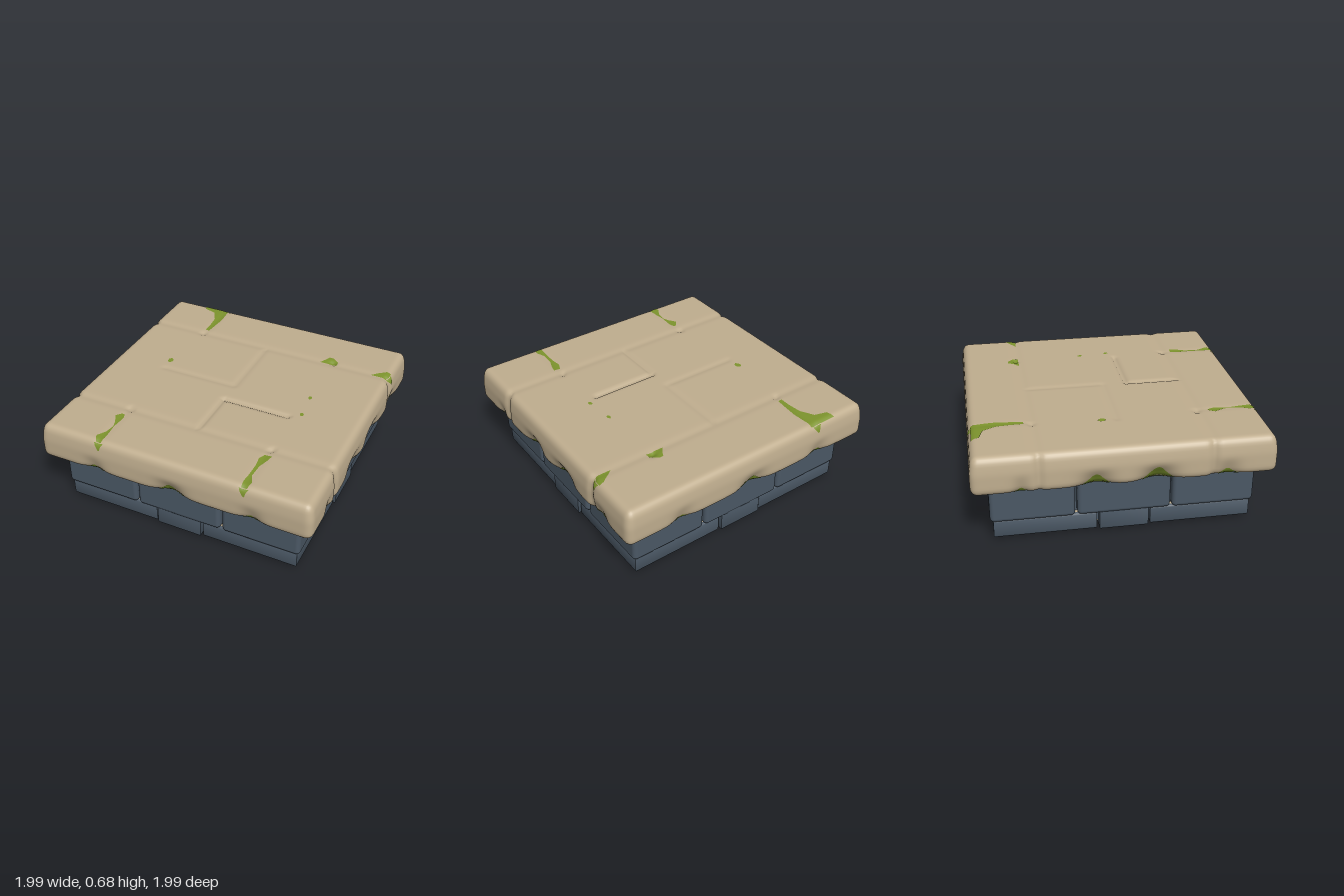
import * as THREE from 'three';
import { mergeVertices, toCreasedNormals } from 'three/addons/utils/BufferGeometryUtils.js';
import { RoundedBoxGeometry } from 'three/addons/geometries/RoundedBoxGeometry.js';

const S = 0.997, H = 0.133, MID_Y = 0.543, R = 0.05; // slab half size, half height, centre, rounding

// Mossy chips along the lower edge, per side (front, right, back, left): [centre, width, height]
const frontChips = [[-0.58, 0.15, 0.05], [0, 0.2, 0.085], [0.58, 0.15, 0.05]];
const sideChips = [[-0.68, 0.1, 0.04], [-0.2, 0.2, 0.09], [0.2, 0.22, 0.11], [0.66, 0.16, 0.055]];
const chips = [frontChips, sideChips, frontChips, sideChips];

// Joints pressed into the top: [x0, z0, x1, z1, depth, width]
const joints = [
  [-1, -0.57, 1, -0.57, 0.006, 0.03], [-1, 0.57, 1, 0.57, 0.006, 0.03],
  [0, -0.57, 0, 0, 0.007, 0.02], [-0.57, 0, 0, 0, 0.007, 0.02],
  [0, 0.17, 0, 0.56, 0.014, 0.015], [0, 0.175, 0.49, 0.175, 0.02, 0.015],
  [-0.55, -0.57, -0.54, -0.57, 0.018, 0.025], [0.53, -0.59, 0.54, -0.59, 0.018, 0.025],
  [-0.54, 0.56, -0.52, 0.57, 0.018, 0.025], [0.53, 0.57, 0.54, 0.56, 0.018, 0.025],
  [0, -0.55, 0, -0.54, 0.01, 0.02], [-0.53, 0.6, -0.53, 1, 0.004, 0.025],
  [0.53, 0.6, 0.53, 1, 0.004, 0.025], [-0.53, -1, -0.53, -0.6, 0.004, 0.025]
];

const gauss = (d, w) => Math.exp(-(d * d) / (w * w));
const step = THREE.MathUtils.smoothstep;
const UP = new THREE.Vector3(0, 1, 0);

// Moves a point of the plain slab box onto the worn stone surface
function wear(p) {
  const inner = new THREE.Vector3(
    THREE.MathUtils.clamp(p.x, R - S, S - R),
    THREE.MathUtils.clamp(p.y, R - H, H - R),
    THREE.MathUtils.clamp(p.z, R - S, S - R));
  const low = 1 - step(p.y, -H, 0.02);
  const onTop = step(p.y, H - 0.03, H);
  p.sub(inner).setLength(R).add(inner);
  const x = p.x, z = p.z;
  if (onTop > 0) {
    let dip = 0;
    for (const [x0, z0, x1, z1, depth, width] of joints) {
      const dx = x1 - x0, dz = z1 - z0;
      const t = THREE.MathUtils.clamp(((x - x0) * dx + (z - z0) * dz) / (dx * dx + dz * dz), 0, 1);
      dip = Math.max(dip, depth * gauss(Math.hypot(x - x0 - t * dx, z - z0 - t * dz), width));
    }
    p.y -= onTop * dip;
  }
  // side notches where the stones meet, and a slight taper to the top
  p.x -= Math.sign(x) * step(Math.abs(x), 0.88, S) *
    (0.018 * gauss(Math.abs(z) - 0.565, 0.025) + 0.014 * step(p.y, 0, H));
  p.z -= Math.sign(z) * step(Math.abs(z), 0.88, S) * 0.014 * step(p.y, 0, H);
  // chips in the lower edge
  chips.forEach((list, k) => {
    const angle = k * Math.PI / 2, s = Math.sin(angle), c = Math.cos(angle);
    const out = x * s + z * c, along = x * c - z * s;
    const reach = step(out, 0.85, S) * low;
    for (const [centre, width, height] of list) {
      const d = reach * height * 0.65 * gauss(along - centre, width * 0.5);
      p.x -= d * s;
      p.z -= d * c;
    }
  });
  return p;
}

function moveVertices(geometry, rule) {
  const pos = geometry.attributes.position, p = new THREE.Vector3();
  for (let i = 0; i < pos.count; i++) {
    rule(p.fromBufferAttribute(pos, i));
    pos.setXYZ(i, p.x, p.y, p.z);
  }
  geometry.computeVertexNormals();
  return geometry;
}

// Thin moss skin lofted through rows of [v, u0, u1], laid on the slab by a placing rule
function mossGeometry(rows, place, normal) {
  const sub = 5, n = (rows.length - 1) * sub;
  return moveVertices(new THREE.PlaneGeometry(1, 1, 8, n), p => {
    const f = (0.5 - p.y) * (rows.length - 1);
    const i = Math.min(Math.floor(f + 1e-6), rows.length - 2);
    const [v, a, b] = rows[i].map((value, j) => THREE.MathUtils.lerp(value, rows[i + 1][j], f - i));
    place(p, THREE.MathUtils.lerp(a, b, p.x + 0.5), v);
    wear(p).addScaledVector(normal, 0.004);
  });
}

// Flat stone from a plan outline, spanning y0..y1
function stoneFromPlan(points, y0, y1) {
  const bevel = 0.016;
  const shape = new THREE.Shape(points.map(([x, z]) => new THREE.Vector2(x, z)));
  const g = new THREE.ExtrudeGeometry(shape, {
    depth: y1 - y0 - 2 * bevel, bevelThickness: bevel, bevelSize: bevel, bevelOffset: -bevel, bevelSegments: 2
  });
  g.rotateX(Math.PI / 2).translate(0, y1 - bevel, 0);
  return toCreasedNormals(g, 0.9);
}

export function createModel() {
  const model = new THREE.Group();
  const material = (name, color, side = THREE.FrontSide) => {
    const m = new THREE.MeshStandardMaterial({ color, side });
    m.name = name;
    return m;
  };
  const sand = material('sandstone', 0xc0ae8f);
  const slate = material('slate', 0x4b5865);
  const green = material('moss', 0x7d942d, THREE.DoubleSide);
  const add = (parent, name, geometry, mat) => {
    const mesh = new THREE.Mesh(geometry, mat);
    mesh.name = name;
    parent.add(mesh);
    return mesh;
  };

  // Worn top slab
  let slab = new THREE.BoxGeometry(2 * S, 2 * H, 2 * S, 116, 14, 116);
  slab.deleteAttribute('uv');
  slab.deleteAttribute('normal');
  slab = moveVertices(mergeVertices(slab), wear);
  add(model, 'topSlab', slab, sand).position.y = MID_Y;

  // Moss on the top
  const moss = new THREE.Group();
  moss.name = 'moss';
  moss.position.y = MID_Y;
  model.add(moss);
  const dot = (x, z, r) => [[z - r, x, x], [z - r * 0.5, x - r * 0.7, x + r * 0.6],
    [z + r * 0.5, x - r * 0.5, x + r * 0.7], [z + r, x, x]];
  const topPatches = [
    [[-S, -0.72, -0.51], [-0.92, -0.7, -0.51], [-0.89, -0.61, -0.505], [-0.8, -0.56, -0.5],
      [-0.7, -0.55, -0.51], [-0.62, -0.55, -0.52]],
    [[0.64, -0.55, -0.53], [0.68, -0.58, -0.515], [0.74, -0.545, -0.52], [0.79, -0.53, -0.525],
      [0.86, -0.54, -0.515], [0.93, -0.575, -0.51], [S, -0.55, -0.515]],
    [[0.63, 0.52, 0.57], [0.68, 0.5, 0.56], [0.75, 0.51, 0.535], [0.85, 0.51, 0.53],
      [0.92, 0.505, 0.56], [S, 0.51, 0.55]],
    [[-0.65, 0.49, 0.52], [-0.61, 0.47, 0.57], [-0.57, 0.44, 0.57]],
    [[-0.645, 0.95, S], [-0.6, 0.88, S], [-0.565, 0.84, S]],
    dot(-0.58, -0.1, 0.03), dot(0.55, -0.09, 0.02), dot(0.57, 0.12, 0.02)
  ];
  for (const rows of topPatches)
    add(moss, 'topMoss', mossGeometry(rows, (p, u, v) => p.set(u, H, v), UP), green);

  // Moss growing from the chipped lower edge, up the side and under the overhang
  chips.forEach((list, k) => {
    const angle = k * Math.PI / 2;
    const out = new THREE.Vector3(Math.sin(angle), 0, Math.cos(angle));
    const onSide = (p, u, v) => p.set(u, v, S).applyAxisAngle(UP, angle);
    const below = (p, u, v) => p.set(u, -H, S - v).applyAxisAngle(UP, angle);
    for (const [c, w, h] of list) {
      const bump = (size, base) => [[0, 0.5], [0.3, 0.38], [0.65, 0.2], [0.9, 0.11], [1, 0.03]]
        .map(([t, f]) => [base + size * t, c - w * f, c + w * f]);
      add(moss, 'edgeMoss', mossGeometry(bump(h, -H), onSide, out), green);
      add(moss, 'undersideMoss', mossGeometry(bump(0.07, 0), below, new THREE.Vector3(0, -1, 0)), green);
    }
    // trickles over the upper edge
    const trickles = k % 2 ? (k === 1 ? [0.6] : []) : (k === 0 ? [-0.53, 0.53] : [0.56]);
    for (const u of trickles) {
      const rows = [[H, u - 0.035, u + 0.035], [H - 0.03, u - 0.025, u + 0.02], [H - 0.065, u, u + 0.01]];
      add(moss, 'trickleMoss', mossGeometry(rows, onSide, out), green);
    }
  });

  // Plinth core with a sandstone floor seen through the joints below
  const core = add(model, 'plinthCore', new THREE.BoxGeometry(1.64, 0.36, 1.64), slate);
  core.position.y = 0.24;
  add(model, 'plinthFloor', new THREE.BoxGeometry(1.63, 0.01, 1.63), sand).position.y = 0.055;

  // Two courses of bricks, one corner and one middle of each per side
  const brick = (w, h, d) => new RoundedBoxGeometry(w, h, d, 3, 0.03);
  const upperCorner = brick(0.56, 0.28, 0.56).translate(0.605, 0.28, 0.605);
  const upperMiddle = brick(0.625, 0.28, 0.4).translate(0, 0.285, 0.69);
  const lowerCorner = stoneFromPlan(
    [[0.18, 0.57], [0.57, 0.57], [0.57, 0.18], [0.865, 0.18], [0.865, 0.865], [0.18, 0.865]], 0.015, 0.148);
  const lowerMiddle = stoneFromPlan(
    [[-0.165, 0.56], [0.165, 0.56], [0.165, 0.88], [-0.165, 0.88]], 0.015, 0.19);
  for (let k = 0; k < 4; k++) {
    const side = new THREE.Group();
    side.name = 'plinthSide';
    side.rotation.y = k * Math.PI / 2;
    model.add(side);
    add(side, 'upperCornerBrick', upperCorner, slate);
    add(side, 'upperMiddleBrick', upperMiddle, slate);
    add(side, 'lowerCornerBrick', lowerCorner, [sand, slate]);
    add(side, 'lowerMiddleBrick', lowerMiddle, [sand, slate]);
  }

  // Slotted foot plate in the middle of the underside
  const half = [[0.52, -0.47], [0.52, -0.03], [0.2, -0.03], [0.2, 0.03], [0.52, 0.03], [0.52, 0.47], [0.47, 0.52]];
  const plan = [...half, ...half.map(([x, z]) => [-x, -z])];
  add(model, 'footPlate', stoneFromPlan(plan, 0, 0.055), sand);
  return model;
}
